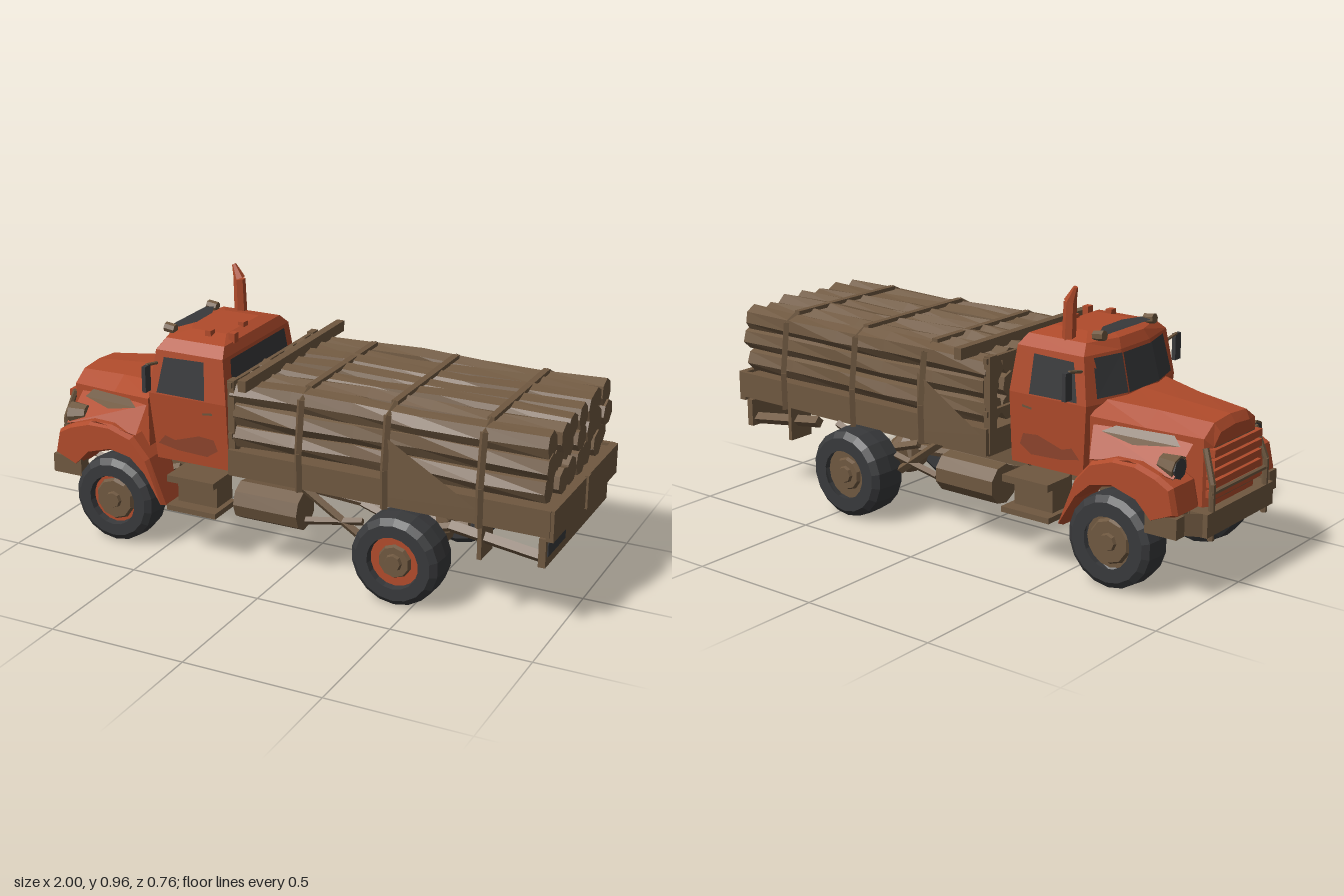
import * as THREE from 'three';

const mat = (name, color) => new THREE.MeshStandardMaterial({ name, color, flatShading: true, side: THREE.DoubleSide });

export function createModel() {
  const red = mat('rusty red paint', 0xb04b2b), rust = mat('dark rust', 0x8f452d);
  const brown = mat('weathered brown', 0x6f5840), dark = mat('dark rubber and glass', 0x38393b);
  const truck = new THREE.Group();
  truck.name = 'logTruck';

  const add = (name, geo, m, x = 0, y = 0, z = 0, parent = truck) => {
    const mesh = new THREE.Mesh(geo, m);
    mesh.name = name;
    mesh.position.set(x, y, z);
    parent.add(mesh);
    return mesh;
  };
  // box given by its extents
  const box = (name, m, x0, x1, y0, y1, z0, z1) =>
    add(name, new THREE.BoxGeometry(x1 - x0, y1 - y0, Math.abs(z1 - z0)), m, (x0 + x1) / 2, (y0 + y1) / 2, (z0 + z1) / 2);
  const both = fn => [1, -1].forEach(fn);
  // round or square bar between two points
  const bar = (name, m, a, b, r, sides = 6, r2 = r) => {
    const p = new THREE.Vector3(...a), q = new THREE.Vector3(...b), d = q.clone().sub(p);
    const mesh = add(name, new THREE.CylinderGeometry(r2, r, d.length(), sides), m, ...p.clone().add(q).multiplyScalar(0.5).toArray());
    mesh.quaternion.setFromUnitVectors(new THREE.Vector3(0, 1, 0), d.normalize());
    return mesh;
  };
  // skin over equal-length closed rings, capped at both ends
  const loft = rings => {
    const n = rings[0].length, pos = rings.flat(2), idx = [];
    for (let i = 0; i < rings.length - 1; i++) for (let j = 0; j < n; j++) {
      const a = i * n + j, b = i * n + (j + 1) % n;
      idx.push(a, b, a + n, b, b + n, a + n);
    }
    const last = (rings.length - 1) * n;
    for (let j = 1; j < n - 1; j++) idx.push(0, j + 1, j, last, last + j, last + j + 1);
    const g = new THREE.BufferGeometry();
    g.setAttribute('position', new THREE.Float32BufferAttribute(pos, 3));
    g.setIndex(idx);
    g.computeVertexNormals();
    return g;
  };
  // flat polygon from 3D corners
  const plate = (name, m, pts) => {
    const g = new THREE.BufferGeometry(), idx = [];
    g.setAttribute('position', new THREE.Float32BufferAttribute(pts.flat(), 3));
    for (let j = 1; j < pts.length - 1; j++) idx.push(0, j, j + 1);
    g.setIndex(idx);
    g.computeVertexNormals();
    return add(name, g, m);
  };
  const outline = pts => new THREE.Shape(pts.map(p => new THREE.Vector2(...p)));

  // cab: [y, back x, front corner x, front centre x, half width]
  const cab = [[0.34, -0.245, -0.54, -0.6, 0.25], [0.59, -0.245, -0.56, -0.61, 0.265], [0.75, -0.265, -0.535, -0.572, 0.245],
    [0.785, -0.28, -0.515, -0.555, 0.205], [0.802, -0.32, -0.46, -0.5, 0.12]];
  add('cab', loft(cab.map(([y, b, f, c, w]) => [[b, y, w], [b, y, -w], [f, y, -w], [c, y, -w * 0.35], [c, y, w * 0.35], [f, y, w]])), red);
  const halfW = y => (y < 0.59 ? 0.25 + 0.06 * (y - 0.34) : 0.265 - 0.125 * (y - 0.59)) + 0.004;
  both(s => {
    const side = pts => pts.map(([x, y]) => [x, y, s * halfW(y)]);
    plate('sideWindow', dark, side([[-0.525, 0.597], [-0.5, 0.728], [-0.338, 0.732], [-0.33, 0.595]]));
    plate('cornerWindscreen', dark, [[-0.574, 0.61, s * 0.222], [-0.61, 0.61, s * 0.093], [-0.578, 0.74, s * 0.088], [-0.546, 0.74, s * 0.208]]);
    plate('doorHandle', brown, side([[-0.34, 0.54], [-0.3, 0.545], [-0.3, 0.553], [-0.34, 0.548]]));
    plate('doorRust', rust, side([[-0.53, 0.4], [-0.5, 0.435], [-0.45, 0.42], [-0.4, 0.425], [-0.36, 0.455], [-0.3, 0.45], [-0.285, 0.41], [-0.33, 0.38], [-0.45, 0.385]]));
    // mirrors
    bar('mirrorArm', brown, [-0.53, 0.7, s * 0.24], [-0.53, 0.715, s * 0.32], 0.006);
    box('mirror', dark, -0.535, -0.52, 0.62, 0.715, s * 0.31, s * 0.345);
  });
  plate('windscreen', dark, [[-0.613, 0.61, 0.09], [-0.613, 0.61, -0.09], [-0.581, 0.74, -0.085], [-0.581, 0.74, 0.085]]);
  plate('rearWindow', dark, [[-0.243, 0.6, 0.22], [-0.243, 0.6, -0.22], [-0.259, 0.74, -0.2], [-0.259, 0.74, 0.2]]);
  plate('roofPanel', dark, [[-0.545, 0.804, 0.13], [-0.53, 0.804, 0], [-0.545, 0.804, -0.12], [-0.515, 0.807, -0.13], [-0.48, 0.807, -0.06], [-0.475, 0.807, 0.06], [-0.505, 0.807, 0.14]]);
  [[-0.53, 0.15], [-0.53, -0.15]].forEach(([x, z]) => bar('roofLamp', brown, [x - 0.02, 0.805, z], [x + 0.02, 0.8, z], 0.018, 7));
  [[-0.375, 0.14], [-0.285, 0.13], [-0.32, 0]].forEach(([x, z]) => box('roofMarker', red, x - 0.012, x + 0.012, 0.78, 0.815, z - 0.015, z + 0.015));

  // exhaust stack with slanted tip
  bar('exhaustStack', red, [-0.43, 0.74, -0.185], [-0.435, 0.91, -0.185], 0.024, 6, 0.022);
  bar('exhaustTip', red, [-0.435, 0.91, -0.185], [-0.458, 0.962, -0.187], 0.022, 6, 0.008);

  // bonnet: [x, top y, shoulder y, top half width, half width, bottom y]
  const bonnet = [[-0.965, 0.54, 0.5, 0.09, 0.13, 0.3], [-0.945, 0.57, 0.53, 0.1, 0.16, 0.3], [-0.75, 0.585, 0.54, 0.13, 0.2, 0.33], [-0.57, 0.602, 0.56, 0.18, 0.255, 0.34]];
  add('bonnet', loft(bonnet.map(([x, t, s, a, w, b]) => [[x, b, w], [x, s, w], [x, t, a], [x, t + 0.008, 0], [x, t, -a], [x, s, -w], [x, b, -w]])), red);

  // grille
  plate('grilleBack', brown, [[-0.968, 0.32, 0.125], [-0.968, 0.32, -0.125], [-0.968, 0.5, -0.125], [-0.968, 0.5, 0.125]]);
  for (let i = 0; i < 5; i++) box('grilleBar', red, -0.982, -0.95, 0.332 + i * 0.035, 0.357 + i * 0.035, -0.15, 0.15);

  both(s => {
    // front fender, arched over the wheel
    const arch = outline([[-0.945, 0.31], [-0.925, 0.4], [-0.87, 0.43], [-0.79, 0.455], [-0.7, 0.455], [-0.61, 0.425], [-0.545, 0.35], [-0.48, 0.18],
      [-0.5, 0.18], [-0.565, 0.29], [-0.62, 0.34], [-0.7, 0.357], [-0.79, 0.33], [-0.85, 0.27]]);
    const g = new THREE.ExtrudeGeometry(arch, { depth: 0.115, bevelEnabled: true, bevelSize: 0.01, bevelThickness: 0.02, bevelOffset: -0.01, bevelSegments: 1 });
    add('frontFender', g, red, 0, 0, s > 0 ? 0.185 : -0.3);
    plate('fenderTop', red, [[-0.91, 0.42, s * 0.28], [-0.91, 0.515, s * 0.16], [-0.58, 0.535, s * 0.25], [-0.6, 0.43, s * 0.3], [-0.76, 0.46, s * 0.31]]);
    plate('wornPatch', brown, [[-0.88, 0.5, s * 0.195], [-0.85, 0.53, s * 0.185], [-0.66, 0.54, s * 0.237], [-0.62, 0.52, s * 0.262], [-0.74, 0.495, s * 0.258]]);
    // headlight
    bar('headlightBody', brown, [-0.84, 0.455, s * 0.24], [-0.905, 0.445, s * 0.24], 0.03, 8, 0.045);
    bar('headlightLens', dark, [-0.905, 0.445, s * 0.24], [-0.911, 0.445, s * 0.24], 0.036, 8);
    // bumper wing and guard
    plate('bumperWing', brown, [[-0.99, 0.22, s * 0.2], [-0.88, 0.24, s * 0.315], [-0.88, 0.31, s * 0.315], [-0.99, 0.3, s * 0.2]]);
    box('bumperEnd', brown, -0.95, -0.83, 0.235, 0.305, s * 0.27, s * 0.318);
    bar('guardPost', brown, [-0.988, 0.2, s * 0.17], [-0.988, 0.39, s * 0.17], 0.011);
    bar('guardPostTop', brown, [-0.988, 0.39, s * 0.17], [-0.95, 0.5, s * 0.155], 0.011);
  });
  box('frontBumper', brown, -0.998, -0.93, 0.22, 0.3, -0.21, 0.21);
  bar('guardRail', brown, [-0.988, 0.36, -0.18], [-0.988, 0.36, 0.18], 0.009);

  // wheels
  const wheel = (x, z, h, s, rim, plateR) => {
    const w = new THREE.Group();
    w.name = 'wheel';
    const prof = [[0.09, -h], [0.138, -h], [0.16, -h * 0.75], [0.165, 0], [0.16, h * 0.75], [0.138, h], [0.095, h], [0.088, h * 0.4]];
    add('tyre', new THREE.LatheGeometry(prof.map(p => new THREE.Vector2(...p)), 18), dark, 0, 0, 0, w).rotation.x = Math.PI / 2;
    const disc = (name, m, r0, r1, d, at, n) => { add(name, new THREE.CylinderGeometry(r1, r0, d, n), m, 0, 0, s * at, w).rotation.x = s * Math.PI / 2; };
    disc('rim', rim, 0.093, 0.093, 0.06, h - 0.055, 16);
    disc('hubPlate', brown, plateR, plateR * 0.85, 0.02, h - 0.022, 10);
    disc('hub', brown, 0.035, 0.028, 0.02, h - 0.01, 8);
    disc('brakeDrum', brown, 0.085, 0.075, 0.05, -h + 0.03, 12);
    w.position.set(x, 0.17, z);
    truck.add(w);
  };
  both(s => {
    wheel(-0.693, s * 0.265, 0.065, s, s > 0 ? red : brown, 0.085);
    wheel(0.44, s * 0.28, 0.078, s, s > 0 ? red : brown, 0.065);
  });

  // chassis, axles and springs
  both(s => {
    box('frameRail', brown, -0.93, 0.95, 0.27, 0.36, s * 0.09, s * 0.125);
    [-0.693, 0.44].forEach(x => {
      bar('leafSpring', brown, [x - 0.2, 0.28, s * 0.17], [x, 0.22, s * 0.18], 0.016, 4);
      bar('leafSpring', brown, [x, 0.22, s * 0.18], [x + 0.2, 0.28, s * 0.17], 0.016, 4);
      box('springSeat', brown, x - 0.04, x + 0.04, 0.11, 0.23, s * 0.175, s * 0.205);
    });
    bar('rearAxle', brown, [0.44, 0.168, s * 0.05], [0.44, 0.168, s * 0.13], 0.05, 8, 0.024);
    bar('rearAxleTube', brown, [0.44, 0.168, s * 0.1], [0.44, 0.175, s * 0.22], 0.03, 8, 0.045);
    // fuel tank and step box
    bar('fuelTank', brown, [-0.2, 0.24, s * 0.235], [0.05, 0.24, s * 0.235], 0.072, 9);
    box('stepBase', brown, -0.46, -0.26, 0.18, 0.2, s * 0.18, s * 0.33);
    box('stepBox', brown, -0.44, -0.28, 0.2, 0.31, s * 0.17, s * 0.28);
    box('stepPad', brown, -0.455, -0.265, 0.29, 0.315, s * 0.2, s * 0.33);
    bar('bedStrut', brown, [0.05, 0.35, s * 0.27], [0.26, 0.2, s * 0.25], 0.016, 4);
    bar('bedStrut', brown, [0.07, 0.22, s * 0.27], [0.28, 0.25, s * 0.25], 0.014, 4);
    // rear mud flap and lower side rail
    box('mudFlap', brown, 0.73, 0.745, 0.235, 0.37, s * 0.22, s * 0.325);
    bar('lowerSideRail', brown, [0.62, 0.32, s * 0.29], [0.945, 0.275, s * 0.29], 0.022, 4);
  });
  bar('frontAxle', brown, [-0.693, 0.165, -0.22], [-0.693, 0.165, 0.22], 0.025);
  add('differential', new THREE.SphereGeometry(0.078, 9, 6), brown, 0.44, 0.165, 0);
  bar('driveShaft', brown, [-0.45, 0.25, 0], [0.4, 0.19, 0], 0.02);
  box('engine', brown, -0.85, -0.42, 0.22, 0.36, -0.08, 0.08);
  box('gearbox', dark, -0.4, 0.1, 0.285, 0.34, -0.07, 0.07);
  box('cabMount', brown, -0.26, -0.18, 0.3, 0.4, -0.18, 0.17);

  // bed
  box('bedFloor', brown, -0.2, 0.98, 0.395, 0.45, -0.32, 0.32);
  for (let i = 0; i < 7; i++) box('crossMember', brown, -0.19 + i * 0.18, -0.15 + i * 0.18, 0.355, 0.4, -0.31, 0.31);
  both(s => box('bedSide', brown, -0.2, 0.98, 0.365, 0.46, s * 0.315, s * 0.335));
  box('bedLiner', red, 0.35, 0.6, 0.352, 0.358, -0.3, -0.15);
  box('tailBoard', brown, 0.965, 0.992, 0.35, 0.46, -0.33, 0.33);
  box('tailPost', brown, 0.985, 1.0, 0.345, 0.465, -0.014, 0.014);
  box('rearBumper', brown, 0.94, 0.965, 0.25, 0.352, -0.32, 0.32);
  box('rearBumperPatch', dark, 0.965, 0.969, 0.285, 0.332, 0.135, 0.305);

  // headboard
  [-0.3, 0.3].forEach(z => box('headboardPost', brown, -0.205, -0.18, 0.37, 0.71, z - 0.02, z + 0.02));
  [0.5, 0.685].forEach(y => box('headboardRail', brown, -0.2, -0.185, y, y + 0.02, -0.33, 0.33));
  box('topBeam', brown, -0.13, -0.1, 0.7, 0.74, -0.38, 0.38);

  // logs, gently irregular
  let seed = 7;
  const rand = () => (seed = (seed * 16807) % 2147483647) / 2147483647;
  for (let row = 0; row < 3; row++) for (let col = -3; col <= 3; col++) {
    const len = 1.13 + rand() * 0.03, r = 0.0455 + rand() * 0.004, ph = rand() * 6;
    const g = new THREE.CylinderGeometry(r, r, len, 7, 5), p = g.attributes.position;
    for (let i = 0; i < p.count; i++) {
      const y = p.getY(i), k = 1 + 0.08 * Math.sin(y * 9 + ph + p.getX(i) * 60);
      p.setXYZ(i, p.getX(i) * k + 0.003 * Math.sin(y * 7 + ph), y, p.getZ(i) * k + 0.003 * Math.sin(y * 5 + ph));
    }
    const log = add('log', g, brown, 0.385 + (rand() - 0.5) * 0.02, [0.51, 0.593, 0.668][row] - (Math.abs(col) > 1 ? 0.003 * row : 0), col * 0.092);
    log.rotation.set(rand() * 0.3, 0, -Math.PI / 2);
  }

  // stakes and tie-down straps
  [0.08, 0.4, 0.74].forEach(x => {
    both(s => {
      bar('stake', brown, [x, 0.36, s * 0.344], [x, 0.5, s * 0.346], 0.014, 4);
      bar('stakeTop', brown, [x, 0.5, s * 0.346], [x, 0.685, s * 0.322], 0.014, 4);
      bar('strapShoulder', brown, [x, 0.68, s * 0.324], [x, 0.712, s * 0.26], 0.01, 4);
    });
    box('strap', brown, x - 0.012, x + 0.012, 0.704, 0.718, -0.265, 0.265);
  });

  // triangular side gussets
  plate('leftGusset', brown, [[0.39, 0.4, 0.342], [0.73, 0.39, 0.342], [0.73, 0.42, 0.342], [0.39, 0.62, 0.338]]);
  plate('rightGusset', brown, [[0.1, 0.4, -0.342], [-0.18, 0.4, -0.342], [-0.18, 0.44, -0.342], [0.1, 0.61, -0.338]]);
  return truck;
}
